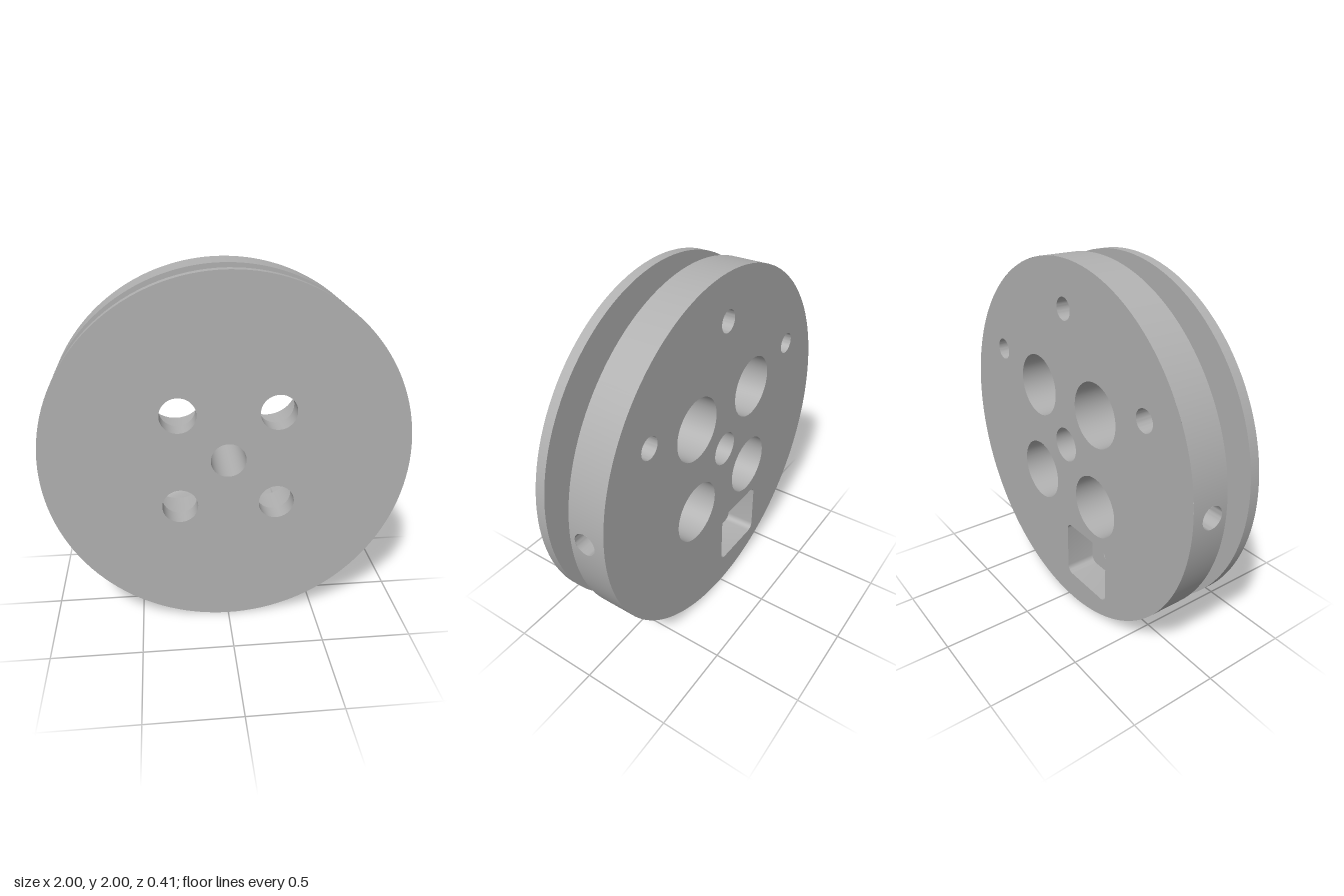
import * as THREE from 'three';
import { toCreasedNormals } from 'three/addons/utils/BufferGeometryUtils.js';

const steel = new THREE.MeshStandardMaterial({ color: 0xb0b0b0, side: THREE.DoubleSide });
steel.name = 'plain grey';

// Counter-clockwise outlines
const circle = (x, y, r, n = 48) => Array.from({ length: n }, (_, i) => {
  const a = (i / n) * Math.PI * 2;
  return new THREE.Vector2(x + r * Math.cos(a), y + r * Math.sin(a));
});

function roundedRect(x0, y0, x1, y1, r) {
  const corners = [[x1 - r, y1 - r], [x0 + r, y1 - r], [x0 + r, y0 + r], [x1 - r, y0 + r]];
  const pts = [];
  corners.forEach(([cx, cy], c) => {
    for (let i = 0; i <= 6; i++) {
      const a = (c + i / 6) * Math.PI / 2;
      pts.push(new THREE.Vector2(cx + r * Math.cos(a), cy + r * Math.sin(a)));
    }
  });
  return pts;
}

export function createModel() {
  const model = new THREE.Group();
  const body = new THREE.Group();
  body.name = 'wheelBody';
  body.position.y = 1;
  model.add(body);

  const add = (name, geometry, parent = body) => {
    const mesh = new THREE.Mesh(geometry, steel);
    mesh.name = name;
    parent.add(mesh);
    return mesh;
  };

  // Flat face at depth z, facing +z or -z
  function face(name, outline, holes, z, dir = 1, parent = body) {
    const shape = new THREE.Shape(outline);
    shape.holes = holes.map((h) => new THREE.Path(h));
    const g = new THREE.ShapeGeometry(shape);
    if (dir < 0) {
      const ix = g.index.array;
      for (let i = 0; i < ix.length; i += 3) [ix[i], ix[i + 1]] = [ix[i + 1], ix[i]];
      g.computeVertexNormals();
    }
    g.translate(0, 0, z);
    return add(name, g, parent);
  }

  // Inward-facing wall of a bore or pocket between two depths
  function bore(name, outline, z0, z1, parent = body) {
    const pos = [];
    outline.forEach((a, i) => {
      const b = outline[(i + 1) % outline.length];
      pos.push(a.x, a.y, z0, b.x, b.y, z1, b.x, b.y, z0, a.x, a.y, z0, a.x, a.y, z1, b.x, b.y, z1);
    });
    const g = new THREE.BufferGeometry();
    g.setAttribute('position', new THREE.Float32BufferAttribute(pos, 3));
    return add(name, toCreasedNormals(g, 0.6), parent);
  }

  // Outer cylindrical wall around z
  function rim(name, r, z0, z1, start = 0, length = Math.PI * 2) {
    const g = new THREE.CylinderGeometry(r, r, z1 - z0, 128, 1, true, start, length);
    g.rotateX(Math.PI / 2);
    g.translate(0, 0, (z0 + z1) / 2);
    return add(name, g);
  }

  const BACK = -0.205, FRONT = 0.205, GAP = 0.15, LEDGE = 0.1;
  const disc = (r) => circle(0, 0, r, 128);
  const centreHole = circle(0, 0, 0.096);
  const boltSpots = [[1, 1], [-1, 1], [-1, -1], [1, -1]].map(([x, y]) => [x * 0.265, y * 0.265]);
  const boltHoles = boltSpots.map(([x, y]) => circle(x, y, 0.098));
  const counterbores = boltSpots.map(([x, y]) => circle(x, y, 0.174));
  const pinHoles = [30, 90, 150].map((d) => {
    const a = d * Math.PI / 180;
    return circle(0.75 * Math.cos(a), 0.75 * Math.sin(a), 0.06);
  });
  const pocket = roundedRect(-0.365, -0.835, 0, -0.5, 0.04);
  const recess = roundedRect(-0.34, -0.76, -0.11, -0.52, 0.05);

  // Front flange
  face('frontFace', disc(1), [centreHole, ...boltHoles], FRONT);
  rim('frontFlangeRim', 1, GAP, FRONT);
  face('frontFlangeInner', disc(1), [disc(0.68)], GAP, -1);

  // Grooved hub
  rim('hubFront', 0.68, 0.09, GAP);
  rim('hubGroove', 0.643, 0.03, 0.09);
  rim('hubBack', 0.68, 0, 0.03);
  face('grooveWallFront', disc(0.68), [disc(0.643)], 0.09, -1);
  face('grooveWallBack', disc(0.68), [disc(0.643)], 0.03);

  // Thick back disc
  face('backDiscInner', disc(1), [disc(0.68), ...pinHoles], 0);
  face('backFace', disc(1), [centreHole, ...counterbores, ...pinHoles, pocket], BACK, -1);
  const gap = 0.08;
  for (const start of [-Math.PI / 2, Math.PI / 2]) {
    rim('backDiscRim', 1, BACK, 0, start + gap, Math.PI - 2 * gap);
  }

  // Bores
  bore('centreBore', centreHole, BACK, FRONT);
  boltHoles.forEach((hole, i) => {
    bore('boltHole', hole, LEDGE, FRONT);
    face('boltLedge', counterbores[i], [hole], LEDGE, -1);
    bore('counterbore', counterbores[i], BACK, LEDGE);
  });
  pinHoles.forEach((hole) => bore('pinHole', hole, BACK, 0));

  // Stepped pocket in the back
  bore('pocketWall', pocket, BACK, -0.03);
  face('pocketFloor', pocket, [recess], -0.03, -1);
  bore('recessWall', recess, -0.03, -0.004);
  face('recessFloor', recess, [], -0.004, -1);

  // Stepped side bores, each in a curved piece of the rim
  const SIDE_Z = -0.088;
  for (const turn of [0, Math.PI]) {
    const side = new THREE.Group();
    side.name = turn ? 'rightSideBore' : 'leftSideBore';
    side.rotation.z = turn;
    body.add(side);

    const edge = [];
    for (let i = 0; i <= 8; i++) edge.push(new THREE.Vector2(-gap + i * gap / 4, BACK));
    for (let i = 8; i >= 0; i--) edge.push(new THREE.Vector2(-gap + i * gap / 4, 0));
    const patch = face('rimPatch', edge, [circle(0, SIDE_Z, 0.06)], 0, 1, side).geometry;
    const p = patch.attributes.position;
    for (let i = 0; i < p.count; i++) {
      const u = p.getX(i), v = p.getY(i);
      p.setXYZ(i, Math.cos(u), Math.sin(u), v);
      patch.attributes.normal.setXYZ(i, Math.cos(u), Math.sin(u), 0);
    }

    const axis = new THREE.Group();
    axis.name = 'sideBoreSteps';
    axis.rotation.y = Math.PI / 2;
    axis.position.z = SIDE_Z;
    side.add(axis);
    const wide = circle(0, 0, 0.06), narrow = circle(0, 0, 0.045);
    bore('sideBoreOuter', wide, 0.85, 0.999, axis);
    face('sideBoreStep', wide, [narrow], 0.85, 1, axis);
    bore('sideBoreInner', narrow, 0.55, 0.85, axis);
    face('sideBoreEnd', narrow, [], 0.55, 1, axis);
  }
  return model;
}
